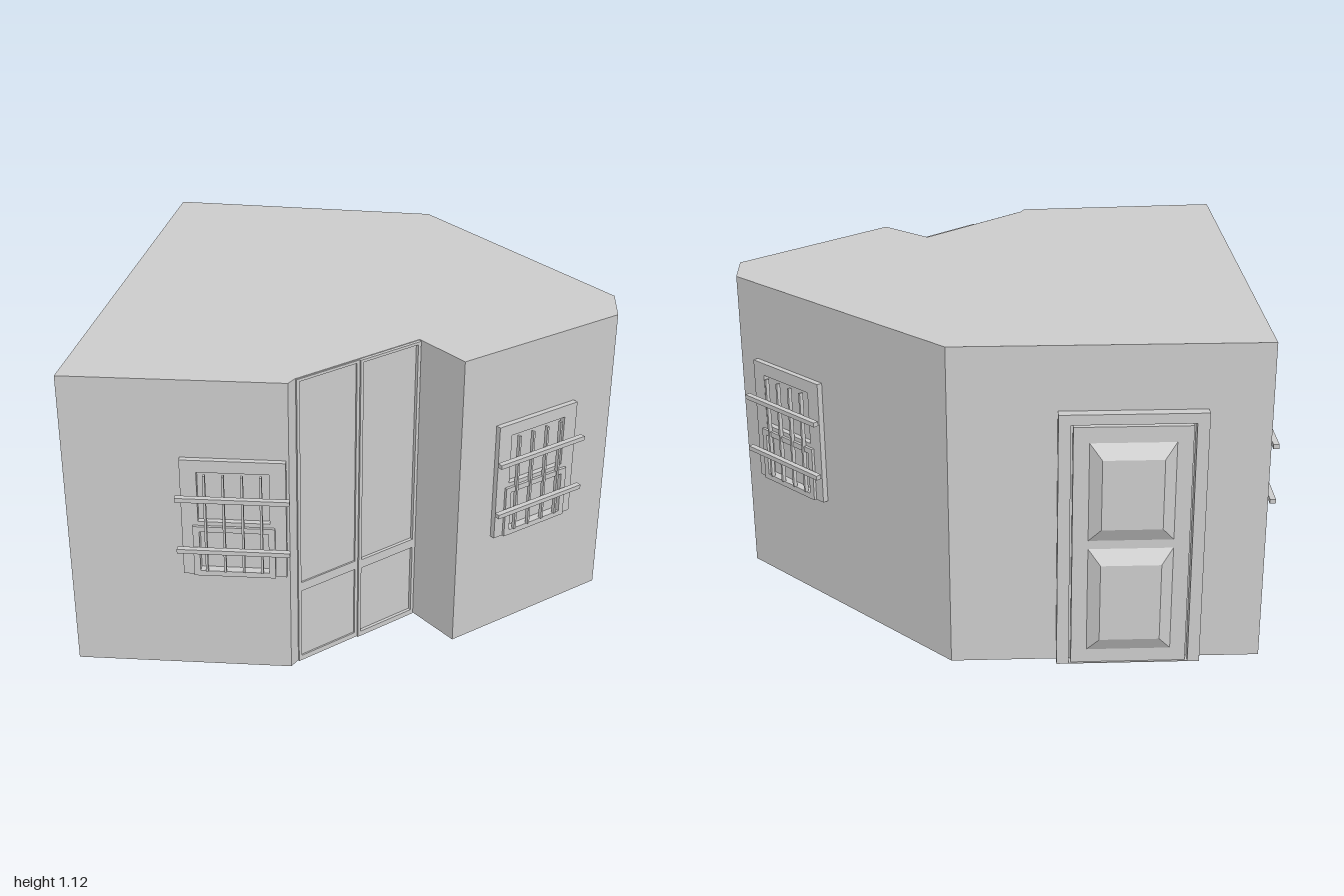
import * as THREE from 'three';

const material = new THREE.MeshStandardMaterial({ color: 0xcccccc, flatShading: true });
const HEIGHT = 1.12;

// Footprint corners as [x, z], walking round the building
const CORNERS = [
  [0, -0.98], [0.94, -0.47], [1.0, -0.31], [0.655, 0.29],
  [0.45, 0.19], [0.205, 0.65], [0.2, 0.69], [-0.51, 0.97], [-0.99, -0.67],
];

function addMesh(parent, name, geometry) {
  const mesh = new THREE.Mesh(geometry, material);
  mesh.name = name;
  parent.add(mesh);
  return mesh;
}

// Box given by its edges in wall coordinates (z points out of the wall)
function slab(parent, name, x0, x1, y0, y1, z0, z1) {
  const mesh = addMesh(parent, name, new THREE.BoxGeometry(x1 - x0, y1 - y0, z1 - z0));
  mesh.position.set((x0 + x1) / 2, (y0 + y1) / 2, (z0 + z1) / 2);
}

function rectangle(Type, [x0, x1, y0, y1]) {
  return new Type([[x0, y0], [x1, y0], [x1, y1], [x0, y1]].map(([x, y]) => new THREE.Vector2(x, y)));
}

// Rectangular board with rectangular openings
function frame(parent, name, outer, openings, depth) {
  const shape = rectangle(THREE.Shape, outer);
  shape.holes = openings.map((o) => rectangle(THREE.Path, o));
  addMesh(parent, name, new THREE.ExtrudeGeometry(shape, { depth, bevelEnabled: false }));
}

// Group lying on a wall: x along it, z outward, origin at fraction t of its length
function onWall(parent, name, index, t) {
  const [ax, az] = CORNERS[index];
  const [bx, bz] = CORNERS[(index + 1) % CORNERS.length];
  const group = new THREE.Group();
  group.name = name;
  group.position.set(ax + (bx - ax) * t, 0, az + (bz - az) * t);
  group.rotation.y = Math.atan2(bz - az, ax - bx);
  parent.add(group);
  return group;
}

// Barred sash window
function addWindow(parent, index, t) {
  const g = onWall(parent, 'window', index, t);
  frame(g, 'windowFrame', [-0.178, 0.178, 0.39, 0.835],
    [[-0.14, 0.14, 0.395, 0.585], [-0.122, 0.122, 0.6, 0.79]], 0.02);
  frame(g, 'lowerSash', [-0.14, 0.14, 0.39, 0.585], [[-0.118, 0.118, 0.41, 0.565]], 0.03);
  for (const x of [-0.095, -0.032, 0.032, 0.095]) {
    slab(g, 'uprightBar', x - 0.004, x + 0.004, 0.41, 0.785, 0.022, 0.036);
  }
  for (const y of [0.5, 0.7]) {
    slab(g, 'crossBar', -0.193, 0.193, y - 0.008, y + 0.008, 0.036, 0.056);
  }
}

// Raised panel: a four-sided block whose front face is shrunk to form bevels
function raisedPanel(parent, x0, x1, y0, y1, z0, z1) {
  const w = x1 - x0, h = y1 - y0;
  const geometry = new THREE.BoxGeometry(w, h, z1 - z0);
  const p = geometry.attributes.position;
  for (let i = 0; i < p.count; i++) {
    if (p.getZ(i) > 0) {
      p.setX(i, p.getX(i) * (1 - 0.08 / w));
      p.setY(i, p.getY(i) * (1 - 0.1 / h));
    }
  }
  geometry.computeVertexNormals();
  addMesh(parent, 'raisedPanel', geometry).position.set((x0 + x1) / 2, (y0 + y1) / 2, (z0 + z1) / 2);
}

// Panelled door with surround
function addPanelDoor(parent, index, t) {
  const g = onWall(parent, 'panelDoor', index, t);
  frame(g, 'doorSurround', [-0.24, 0.24, 0, 0.9], [[-0.2, 0.2, 0.002, 0.865]], 0.035);
  slab(g, 'doorLeaf', -0.192, 0.192, 0, 0.855, 0, 0.028);
  raisedPanel(g, -0.14, 0.14, 0.455, 0.8, 0.028, 0.054);
  raisedPanel(g, -0.14, 0.14, 0.05, 0.425, 0.028, 0.054);
}

// Full-height double door, one leaf slightly ahead of the other
function addDoubleDoor(parent, index) {
  const g = onWall(parent, 'doubleDoor', index, 0.5);
  const half = 0.258;
  for (const side of [-1, 1]) {
    const x0 = side < 0 ? -half : 0, x1 = x0 + half;
    const openings = [[0.02, 0.295], [0.33, 1.108]].map(([y0, y1]) => [x0 + 0.012, x1 - 0.012, y0, y1]);
    frame(g, 'glazedLeaf', [x0, x1, 0, HEIGHT - 0.002], openings, side < 0 ? 0.006 : 0.012);
  }
}

export function createModel() {
  const model = new THREE.Group();
  model.name = 'house';

  // Walls, flat roof and floor
  const outline = new THREE.Shape(CORNERS.map(([x, z]) => new THREE.Vector2(x, -z)));
  const walls = new THREE.ExtrudeGeometry(outline, { depth: HEIGHT, bevelEnabled: false });
  walls.rotateX(-Math.PI / 2);
  addMesh(model, 'walls', walls);

  // Windows as [wall index, fraction along wall]
  for (const [index, t] of [[0, 0.745], [2, 0.52], [6, 0.245], [7, 0.215], [7, 0.8]]) {
    addWindow(model, index, t);
  }
  addPanelDoor(model, 8, 0.43);
  addDoubleDoor(model, 4);
  return model;
}
